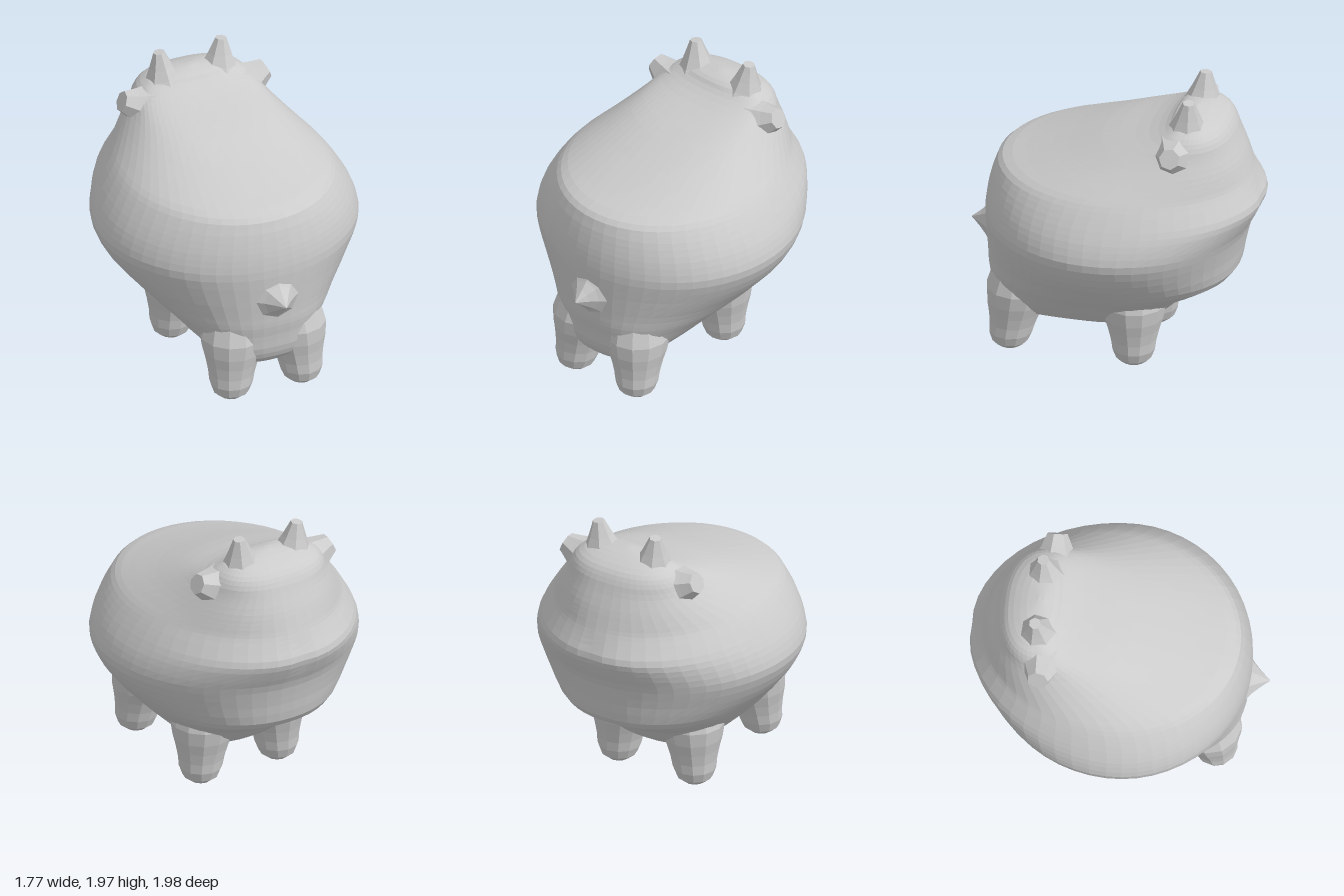
import * as THREE from 'three';

const material = new THREE.MeshStandardMaterial({ color: 0xcccccc, flatShading: true });
const V = (x, y, z) => new THREE.Vector3(x, y, z);

function addMesh(parent, name, geometry) {
  const mesh = new THREE.Mesh(geometry, material);
  mesh.name = name;
  parent.add(mesh);
  return mesh;
}

// Horizontal body sections: [y, z at tail end, z at head end, half width, z of widest point, squareness]
const SECTIONS = [
  [0.215, 0.33, 0.23, 0.02, 0.28, 2.0],
  [0.22, 0.66, -0.08, 0.17, 0.28, 2.3],
  [0.27, 0.78, -0.25, 0.3, 0.26, 2.8],
  [0.36, 0.83, -0.38, 0.4, 0.22, 2.8],
  [0.48, 0.845, -0.51, 0.51, 0.14, 2.5],
  [0.57, 0.86, -0.67, 0.6, 0.08, 2.3],
  [0.66, 0.865, -0.81, 0.68, 0.04, 2.15],
  [0.82, 0.875, -0.85, 0.81, 0.02, 2.0],
  [0.98, 0.88, -0.89, 0.885, 0.02, 2.0],
  [1.1, 0.87, -0.955, 0.865, 0.02, 2.0],
  [1.2, 0.85, -0.995, 0.82, 0.02, 2.0],
  [1.3, 0.82, -0.95, 0.76, 0.0, 2.0],
  [1.375, 0.77, -0.915, 0.705, -0.03, 2.0],
  [1.44, 0.57, -0.89, 0.64, -0.1, 2.1],
  [1.52, 0.33, -0.86, 0.56, -0.22, 2.2],
  [1.62, 0.05, -0.815, 0.47, -0.36, 2.3],
  [1.7, -0.22, -0.78, 0.41, -0.46, 2.4],
  [1.76, -0.36, -0.73, 0.35, -0.5, 2.4],
  [1.81, -0.42, -0.63, 0.24, -0.52, 2.3],
  [1.835, -0.5, -0.54, 0.02, -0.52, 2.0],
];

function bodyGeometry(rows = 46, segs = 52) {
  const ends = new THREE.CatmullRomCurve3(SECTIONS.map(s => V(s[1], s[0], s[2])), false, 'catmullrom', 0.5);
  const widths = new THREE.CatmullRomCurve3(SECTIONS.map(s => V(s[3], s[4], s[5])), false, 'catmullrom', 0.5);
  const pos = [], index = [];
  const power = (v, n) => Math.sign(v) * Math.pow(Math.abs(v), 2 / n);
  for (let i = 0; i <= rows; i++) {
    const e = ends.getPoint(i / rows), w = widths.getPoint(i / rows);
    for (let j = 0; j < segs; j++) {
      const a = (j / segs) * Math.PI * 2;
      const c = power(Math.cos(a), w.z);
      const x = w.x * power(Math.sin(a), w.z);
      let z = w.y + c * (c > 0 ? e.x - w.y : w.y - e.z);
      // Slight hollow down the middle of the muzzle
      if (c < 0) z += 0.015 * Math.exp(-((x / 0.09) ** 2) - ((e.y - 1.2) / 0.12) ** 2);
      pos.push(x, e.y, z);
    }
  }
  for (let i = 0; i < rows; i++) {
    for (let j = 0; j < segs; j++) {
      const k = (j + 1) % segs, a = i * segs, b = a + segs;
      index.push(a + j, a + k, b + k, a + j, b + k, b + j);
    }
  }
  // Close the belly and the crown
  const low = pos.length / 3, top = low + 1, last = rows * segs;
  pos.push(0, SECTIONS[0][0], 0.28, 0, 1.835, -0.52);
  for (let j = 0; j < segs; j++) {
    const k = (j + 1) % segs;
    index.push(low, k, j, top, last + j, last + k);
  }
  const g = new THREE.BufferGeometry();
  g.setAttribute('position', new THREE.Float32BufferAttribute(pos, 3));
  g.setIndex(index);
  g.computeVertexNormals();
  return g;
}

// Stubby leg with a rounded foot, widening and leaning into the body
function legGeometry(foot, lean) {
  const profile = [[0, 0], [0.07, 0.005], [0.12, 0.045], [0.145, 0.11], [0.155, 0.18],
    [0.175, 0.26], [0.2, 0.34], [0.22, 0.44], [0.2, 0.56], [0, 0.64]];
  const g = new THREE.LatheGeometry(profile.map(p => new THREE.Vector2(...p)), 12);
  const p = g.attributes.position;
  for (let i = 0; i < p.count; i++) {
    const y = p.getY(i), t = Math.max(0, y - 0.08);
    p.setXYZ(i, foot.x + p.getX(i) + lean.x * t, y + foot.y, foot.z + p.getZ(i) + lean.z * t);
  }
  g.computeVertexNormals();
  return g;
}

// Blunt spike with a flared foot, from base to tip
function addSpike(parent, name, base, tip, baseRadius, tipRadius, sides) {
  const length = base.distanceTo(tip);
  const points = [[1, 0], [0.68, 0.25], [0.38, 0.55], [0.12, 0.85], [0, 1]].map(([r, t]) =>
    new THREE.Vector2(tipRadius + (baseRadius - tipRadius) * r, t * length));
  points.push(new THREE.Vector2(0, length));
  const mesh = addMesh(parent, name, new THREE.LatheGeometry(points, sides));
  mesh.position.copy(base);
  mesh.quaternion.setFromUnitVectors(V(0, 1, 0), tip.clone().sub(base).normalize());
}

export function createModel() {
  const model = new THREE.Group();
  model.name = 'animal';
  addMesh(model, 'body', bodyGeometry());

  for (const s of [1, -1]) {
    const side = s > 0 ? 'left' : 'right';
    // Legs at the tail end and the head end
    addMesh(model, `${side}TailEndLeg`, legGeometry(V(0.255 * s, 0, 0.675), V(-0.1 * s, 0, -0.15)));
    addMesh(model, `${side}HeadEndLeg`, legGeometry(V(0.3 * s, 0.015, -0.18), V(-0.08 * s, 0, 0.02)));
    // Horns and ears
    addSpike(model, `${side}Horn`, V(0.2 * s, 1.73, -0.52), V(0.225 * s, 1.965, -0.535), 0.15, 0.04, 7);
    addSpike(model, `${side}Ear`, V(0.36 * s, 1.62, -0.47), V(0.52 * s, 1.69, -0.48), 0.16, 0.07, 7);
  }

  // Short pointed tail
  addSpike(model, 'tail', V(0, 0.78, 0.85), V(0, 0.78, 1), 0.16, 0.004, 8);
  return model;
}
